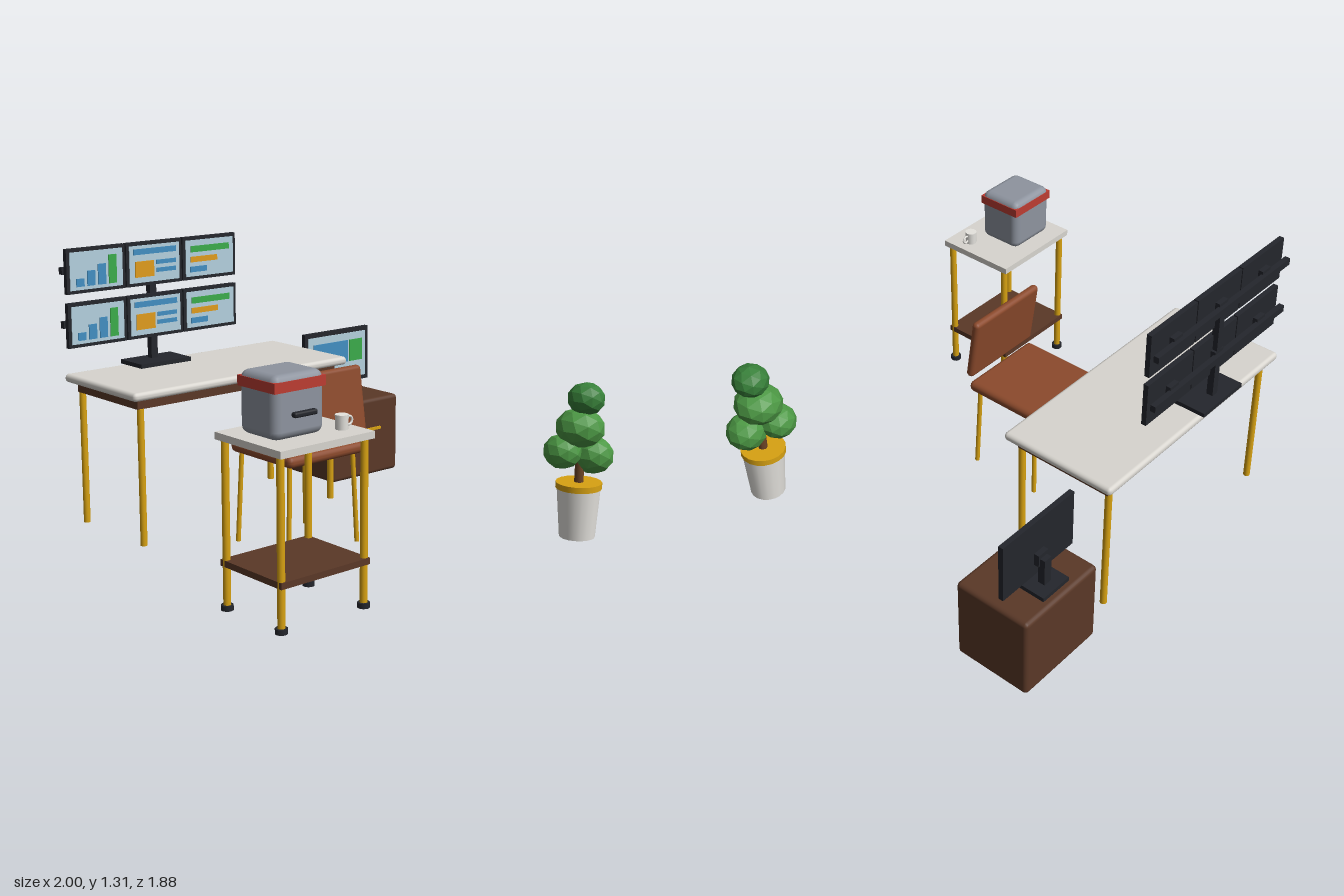
import * as THREE from 'three';
import { RoundedBoxGeometry } from 'three/addons/geometries/RoundedBoxGeometry.js';

const COLORS = {
  stone: 0xd8d5cf, wood: 0x5a3827, gold: 0xd8a212, leather: 0x8c4a2c, dark: 0x24262c,
  screen: 0xb4d0de, blue: 0x428fc2, green: 0x3bac4b, orange: 0xe09c1c, steel: 0x8e949f,
  red: 0xbc3c32, white: 0xe6e4df, leaf: 0x4c9844, leafDark: 0x378039, bark: 0x6b4426,
};
const mats = {};
function mat(color, flat = false) {
  const key = color + flat;
  return (mats[key] ??= new THREE.MeshStandardMaterial({ color: COLORS[color], flatShading: flat }));
}

function add(parent, name, geometry, color, x, y, z, flat) {
  const mesh = new THREE.Mesh(geometry, mat(color, flat));
  mesh.name = name;
  mesh.position.set(x, y, z);
  parent.add(mesh);
  return mesh;
}
const box = (p, name, color, w, h, d, x, y, z) =>
  add(p, name, new THREE.BoxGeometry(w, h, d), color, x, y, z);
const rounded = (p, name, color, w, h, d, x, y, z, r) =>
  add(p, name, new RoundedBoxGeometry(w, h, d, 2, r), color, x, y, z);
const cylinder = (p, name, color, rTop, rBottom, h, x, y, z, sides = 16) =>
  add(p, name, new THREE.CylinderGeometry(rTop, rBottom, h, sides), color, x, y, z);

// Straight round bar between two points
function bar(p, name, color, a, b, r) {
  const from = new THREE.Vector3(...a), to = new THREE.Vector3(...b);
  const mid = from.clone().add(to).multiplyScalar(0.5);
  const mesh = cylinder(p, name, color, r, r, from.distanceTo(to), mid.x, mid.y, mid.z, 12);
  mesh.quaternion.setFromUnitVectors(new THREE.Vector3(0, 1, 0), to.sub(from).normalize());
}

function section(parent, name, x = 0, y = 0, z = 0) {
  const g = new THREE.Group();
  g.name = name;
  g.position.set(x, y, z);
  parent.add(g);
  return g;
}

// Calls fn for each of the four corners
function corners(fn) {
  for (const sx of [-1, 1]) for (const sz of [-1, 1]) fn(sx, sz);
}

function buildDesk(root) {
  const g = section(root, 'desk', -0.2, 0, -0.615);
  rounded(g, 'deskTop', 'stone', 1.255, 0.04, 0.575, 0, 0.7, 0, 0.018);
  box(g, 'deskApron', 'wood', 1.165, 0.047, 0.485, 0, 0.658, 0);
  corners((sx, sz) => cylinder(g, 'deskLeg', 'gold', 0.016, 0.016, 0.636, sx * 0.563, 0.318, sz * 0.235));
}

// Screen graphics: [color, x, y, width, height]
const CHARTS = [
  [['blue', -0.091, -0.0535, 0.043, 0.037], ['blue', -0.032, -0.037, 0.043, 0.07],
    ['blue', 0.027, -0.024, 0.043, 0.096], ['green', 0.086, -0.005, 0.043, 0.134]],
  [['blue', 0, 0.059, 0.245, 0.027], ['orange', -0.06, -0.024, 0.107, 0.075],
    ['blue', 0.064, 0.003, 0.112, 0.02], ['blue', 0.064, -0.035, 0.112, 0.02]],
  [['green', 0, 0.045, 0.23, 0.03], ['orange', -0.037, -0.005, 0.16, 0.027],
    ['blue', -0.07, -0.053, 0.1, 0.027]],
];
const DASHBOARD = [['blue', -0.047, 0.025, 0.24, 0.115], ['green', 0.127, 0.025, 0.09, 0.115],
  ['orange', -0.077, -0.071, 0.18, 0.022]];

// Display with a dark case, a lit panel and graphics on it
function display(parent, name, w, h, inset, items, x, y, z) {
  const g = section(parent, name, x, y, z);
  box(g, 'case', 'dark', w, h, 0.024, 0, 0, -0.004);
  box(g, 'panel', 'screen', w - inset * 2, h - inset * 2, 0.004, 0, 0, 0.01);
  for (const [color, ix, iy, iw, ih] of items) box(g, 'graphic', color, iw, ih, 0.004, ix, iy, 0.014);
  return g;
}

function buildMonitorWall(root) {
  const g = section(root, 'monitorWall', -0.356, 0, 0);
  box(g, 'standBase', 'dark', 0.288, 0.02, 0.172, 0, 0.731, -0.833);
  box(g, 'standPole', 'dark', 0.036, 0.49, 0.032, 0, 0.975, -0.858);
  for (const y of [1.203, 0.953]) {
    box(g, 'rail', 'dark', 0.968, 0.032, 0.026, 0, y, -0.88);
    CHARTS.forEach((items, i) => {
      const x = (i - 1) * 0.325;
      display(g, 'monitor', 0.318, 0.208, 0.016, items, x, y, -0.835);
      box(g, 'mount', 'dark', 0.06, 0.06, 0.03, x, y, -0.86);
    });
  }
}

function buildChair(root) {
  const g = section(root, 'chair', -0.2, 0, 0.03);
  rounded(g, 'seat', 'leather', 0.44, 0.053, 0.425, 0, 0.446, 0, 0.024);
  const back = rounded(g, 'backrest', 'leather', 0.44, 0.325, 0.04, 0, 0.66, 0.19, 0.019);
  back.rotation.x = -0.145;
  corners((sx, sz) => bar(g, 'chairLeg', 'gold',
    [sx * 0.185, 0.43, sz * 0.167], [sx * 0.202, 0, sz * 0.18], 0.011));
}

function buildSideTable(root) {
  const g = section(root, 'sideTable', -0.76, 0, 0.678);
  box(g, 'tableTop', 'stone', 0.48, 0.03, 0.405, 0, 0.72, 0);
  box(g, 'shelf', 'wood', 0.46, 0.027, 0.38, 0, 0.198, 0);
  corners((sx, sz) => {
    cylinder(g, 'tableLeg', 'gold', 0.016, 0.016, 0.69, sx * 0.215, 0.36, sz * 0.17);
    cylinder(g, 'foot', 'dark', 0.026, 0.026, 0.022, sx * 0.215, 0.011, sz * 0.17);
  });
}

function buildCooler(root) {
  const g = section(root, 'storageBox', -0.81, 0.735, 0.66);
  rounded(g, 'boxBody', 'steel', 0.257, 0.257, 0.225, 0, 0.1285, 0, 0.035);
  box(g, 'boxBand', 'red', 0.259, 0.042, 0.227, 0, 0.211, 0);
  rounded(g, 'boxHandle', 'dark', 0.116, 0.022, 0.028, 0, 0.103, 0.137, 0.008);
}

function buildCup(root) {
  const g = section(root, 'cup', -0.597, 0.735, 0.772);
  cylinder(g, 'cupBody', 'white', 0.028, 0.026, 0.06, 0, 0.03, 0);
  add(g, 'cupHandle', new THREE.TorusGeometry(0.017, 0.005, 8, 16), 'white', 0.038, 0.03, 0);
}

function buildCabinet(root) {
  const g = section(root, 'cabinet', 0.767, 0, -0.75);
  rounded(g, 'cabinetBody', 'wood', 0.457, 0.408, 0.38, 0, 0.204, 0, 0.02);
  box(g, 'cabinetHandle', 'gold', 0.2, 0.014, 0.012, 0, 0.247, 0.194);
  // Monitor standing on the cabinet
  const m = section(g, 'cabinetMonitor', 0, 0, -0.05);
  display(m, 'display', 0.442, 0.285, 0.022, DASHBOARD, 0, 0.602, 0.006);
  box(m, 'monitorBase', 'dark', 0.162, 0.02, 0.152, 0, 0.418, -0.028);
  box(m, 'monitorNeck', 'dark', 0.042, 0.14, 0.034, 0, 0.49, -0.042);
  box(m, 'monitorBracket', 'dark', 0.06, 0.06, 0.03, 0, 0.55, -0.02);
}

function buildPlant(root) {
  const g = section(root, 'plant', 0.815, 0, 0.825);
  cylinder(g, 'pot', 'white', 0.1, 0.082, 0.235, 0, 0.1175, 0, 18);
  cylinder(g, 'potRim', 'gold', 0.106, 0.106, 0.028, 0, 0.246, 0, 18);
  cylinder(g, 'trunk', 'bark', 0.018, 0.022, 0.3, 0, 0.38, 0, 8);
  // Foliage: [color, x, y, z, rx, ry, rz]
  const clumps = [
    ['leaf', 0.065, 0.38, 0.025, 0.095, 0.088, 0.095],
    ['leaf', -0.063, 0.405, -0.05, 0.09, 0.082, 0.09],
    ['leaf', -0.005, 0.515, 0, 0.115, 0.093, 0.115],
    ['leafDark', 0.012, 0.65, 0.015, 0.087, 0.077, 0.087],
  ];
  for (const [color, x, y, z, rx, ry, rz] of clumps) {
    const clump = add(g, 'foliage', new THREE.IcosahedronGeometry(1, 1), color, x, y, z, true);
    clump.scale.set(rx, ry, rz);
  }
}

export function createModel() {
  const root = new THREE.Group();
  root.name = 'officeSet';
  buildDesk(root);
  buildMonitorWall(root);
  buildChair(root);
  buildSideTable(root);
  buildCooler(root);
  buildCup(root);
  buildCabinet(root);
  buildPlant(root);
  return root;
}
